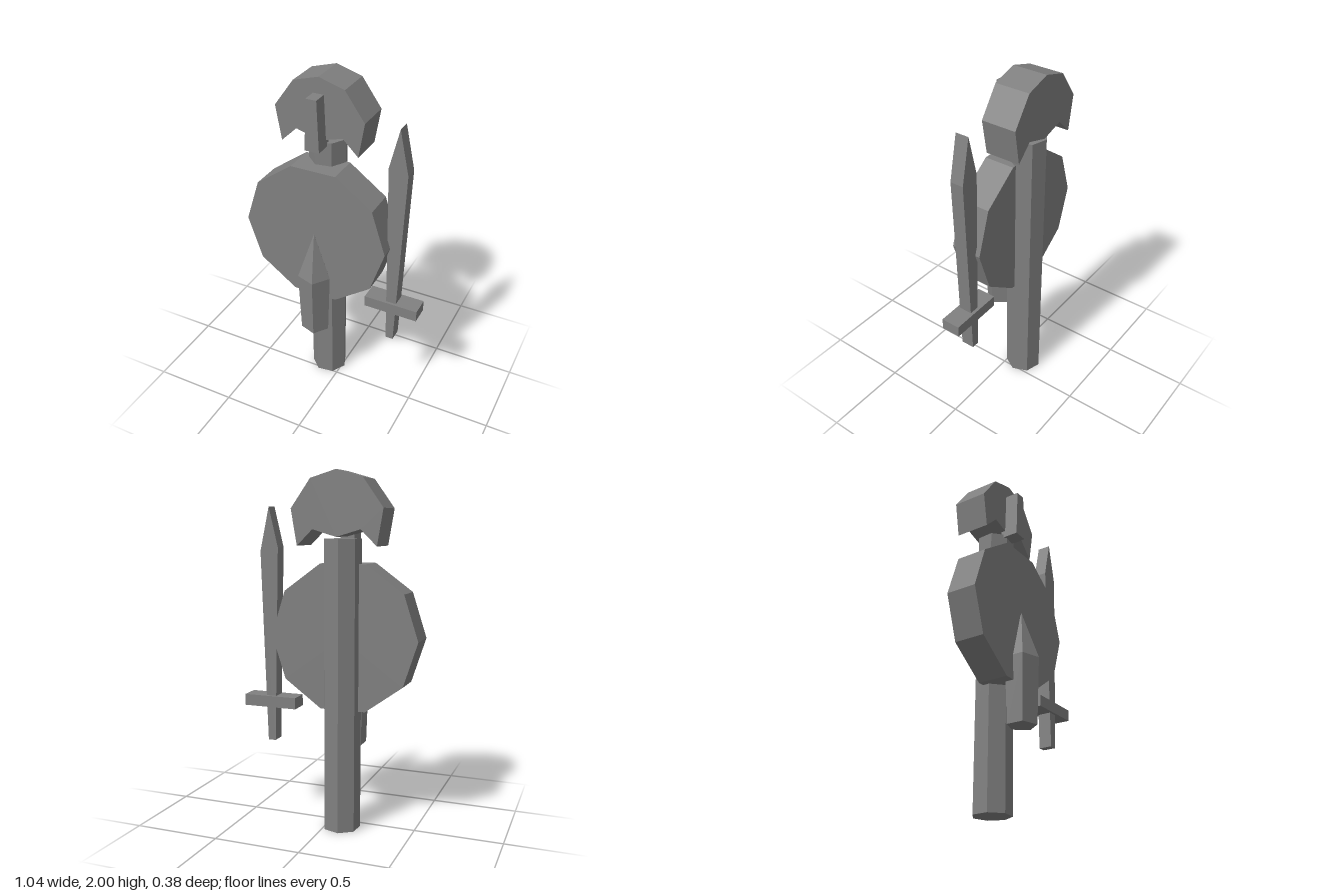
import * as THREE from 'three';

const grey = new THREE.MeshStandardMaterial({ color: 0x808080, flatShading: true });
grey.name = 'stone grey';

const rad = THREE.MathUtils.degToRad;

function part(name, geometry, x = 0, y = 0, z = 0) {
  const mesh = new THREE.Mesh(geometry, grey);
  mesh.name = name;
  mesh.position.set(x, y, z);
  return mesh;
}

// Flat outline in x and y, given thickness from zBack to zFront
function slab(name, points, zBack, zFront) {
  const shape = new THREE.Shape(points.map(([x, y]) => new THREE.Vector2(x, y)));
  const geometry = new THREE.ExtrudeGeometry(shape, { depth: zFront - zBack, bevelEnabled: false });
  return part(name, geometry, 0, 0, zBack);
}

export function createModel() {
  const model = new THREE.Group();
  model.name = 'guardPost';
  const cx = -0.094;

  // Seven-sided post
  model.add(part('post',
    new THREE.CylinderGeometry(0.108, 0.108, 1.64, 7, 1, false, rad(189)), -0.09, 0.82, -0.085));

  // Ten-sided shield facing forward
  const shield = new THREE.CylinderGeometry(0.43, 0.43, 0.18, 10, 1, false, rad(90));
  shield.rotateX(Math.PI / 2);
  model.add(part('shield', shield, cx, 1.095, 0.006));

  // Five-sided pointed body in front of the shield
  const spike = new THREE.Group();
  spike.name = 'spike';
  spike.add(part('spikeShaft',
    new THREE.CylinderGeometry(0.097, 0.084, 0.38, 5, 1, false, rad(18)), 0, 0.64, 0));
  spike.add(part('spikePoint',
    new THREE.ConeGeometry(0.097, 0.28, 5, 1, true, rad(18)), 0, 0.97, 0));
  spike.position.set(-0.091, 0, 0.1);
  model.add(spike);

  // Arched helmet, two mirrored halves meeting at the middle
  const half = [[0, 2], [0.147, 1.957], [0.26, 1.8], [0.226, 1.602], [0.136, 1.69], [0, 1.65]];
  for (const side of [-1, 1]) {
    model.add(slab(side > 0 ? 'helmetLeft' : 'helmetRight',
      half.map(([x, y]) => [cx + side * x, y]), -0.187, 0.016));
  }

  // Tapered nose guard
  model.add(slab('noseGuard',
    [[-0.137, 1.62], [-0.053, 1.62], [-0.064, 1.91], [-0.126, 1.91]], -0.01, 0.098));

  // Sword held at the left side
  const sword = new THREE.Group();
  sword.name = 'sword';
  sword.add(slab('blade',
    [[0.335, 0.46], [0.38, 0.46], [0.415, 1.565], [0.36, 1.815], [0.306, 1.587]], -0.056, 0.022));
  sword.add(part('crossguard', new THREE.BoxGeometry(0.32, 0.066, 0.112), 0.36, 0.695, -0.018));
  model.add(sword);

  return model;
}
